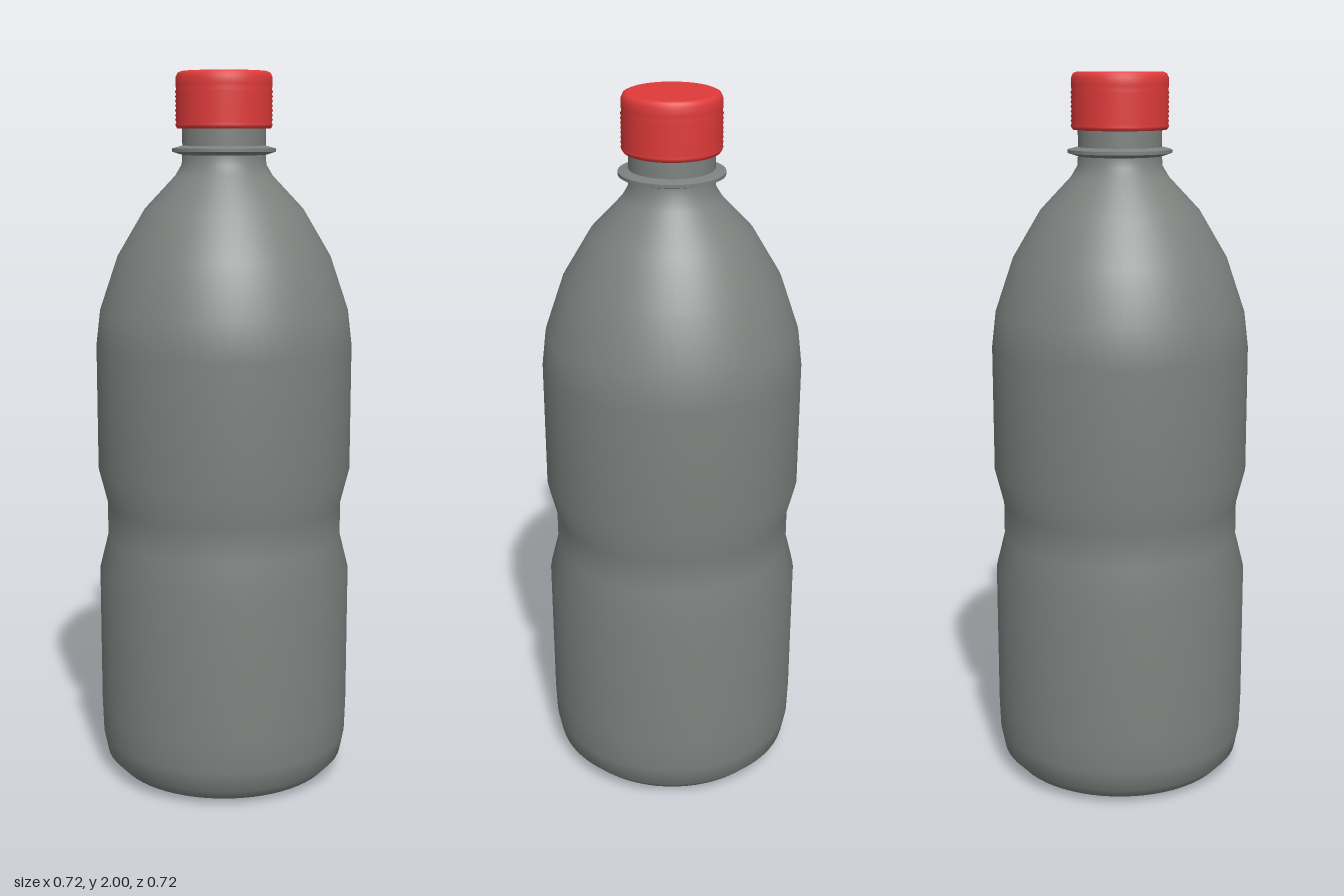
import * as THREE from 'three';

const SEGMENTS = 64;

// Revolve a profile of [radius, height] pairs, listed from bottom to top on the outside
function turned(name, points, material) {
  const profile = points.map(([r, y]) => new THREE.Vector2(r, y));
  const mesh = new THREE.Mesh(new THREE.LatheGeometry(profile, SEGMENTS), material);
  mesh.name = name;
  return mesh;
}

export function createModel() {
  const plastic = new THREE.MeshStandardMaterial({ color: 0x7d827f, side: THREE.DoubleSide });
  plastic.name = 'grey plastic';
  const red = new THREE.MeshStandardMaterial({ color: 0xe03a3a });
  red.name = 'red cap';
  const dark = new THREE.MeshStandardMaterial({ color: 0x2a1a14 });
  dark.name = 'dark brown';

  const bottle = new THREE.Group();
  bottle.name = 'bottle';

  // Body with a waist grip and a tapering shoulder
  bottle.add(turned('body', [
    [0.28, 0.012], [0.312, 0.015], [0.345, 0.05], [0.357, 0.11], [0.36, 0.2],
    [0.36, 0.6], [0.335, 0.7], [0.335, 0.8], [0.36, 0.9], [0.36, 1.25],
    [0.348, 1.35], [0.297, 1.5], [0.22, 1.63], [0.135, 1.72], [0.117, 1.75], [0.115, 1.78],
  ], plastic));

  // Underside: dark foot ring around a grey base
  bottle.add(turned('footRing', [[0.253, 0.008], [0.281, 0.011]], dark));
  bottle.add(turned('base', [[0, 0], [0.2, 0.002], [0.254, 0.008]], plastic));

  // Neck and its support collar
  bottle.add(turned('neck', [[0.115, 1.77], [0.115, 1.86]], plastic));
  bottle.add(turned('collarUnderside', [[0.112, 1.775], [0.143, 1.785]], plastic));
  bottle.add(turned('collarRim', [[0.143, 1.785], [0.143, 1.794]], plastic));
  bottle.add(turned('collarTop', [[0.143, 1.794], [0.112, 1.802]], plastic));

  // Cap with fine grip rings on its side
  const side = [[0.128, 1.847], [0.132, 1.852]];
  const rings = 8;
  for (let i = 0; i < rings; i++) {
    const y = 1.858 + i * 0.0125;
    side.push([0.134, y], [0.131, y + 0.006]);
  }
  side.push([0.133, 1.965], [0.132, 1.985], [0.127, 1.996], [0.118, 2]);
  bottle.add(turned('cap', side, red));
  bottle.add(turned('capTop', [[0.118, 2], [0, 2]], red));
  bottle.add(turned('capUnderside', [[0.11, 1.847], [0.128, 1.847]], red));

  return bottle;
}
